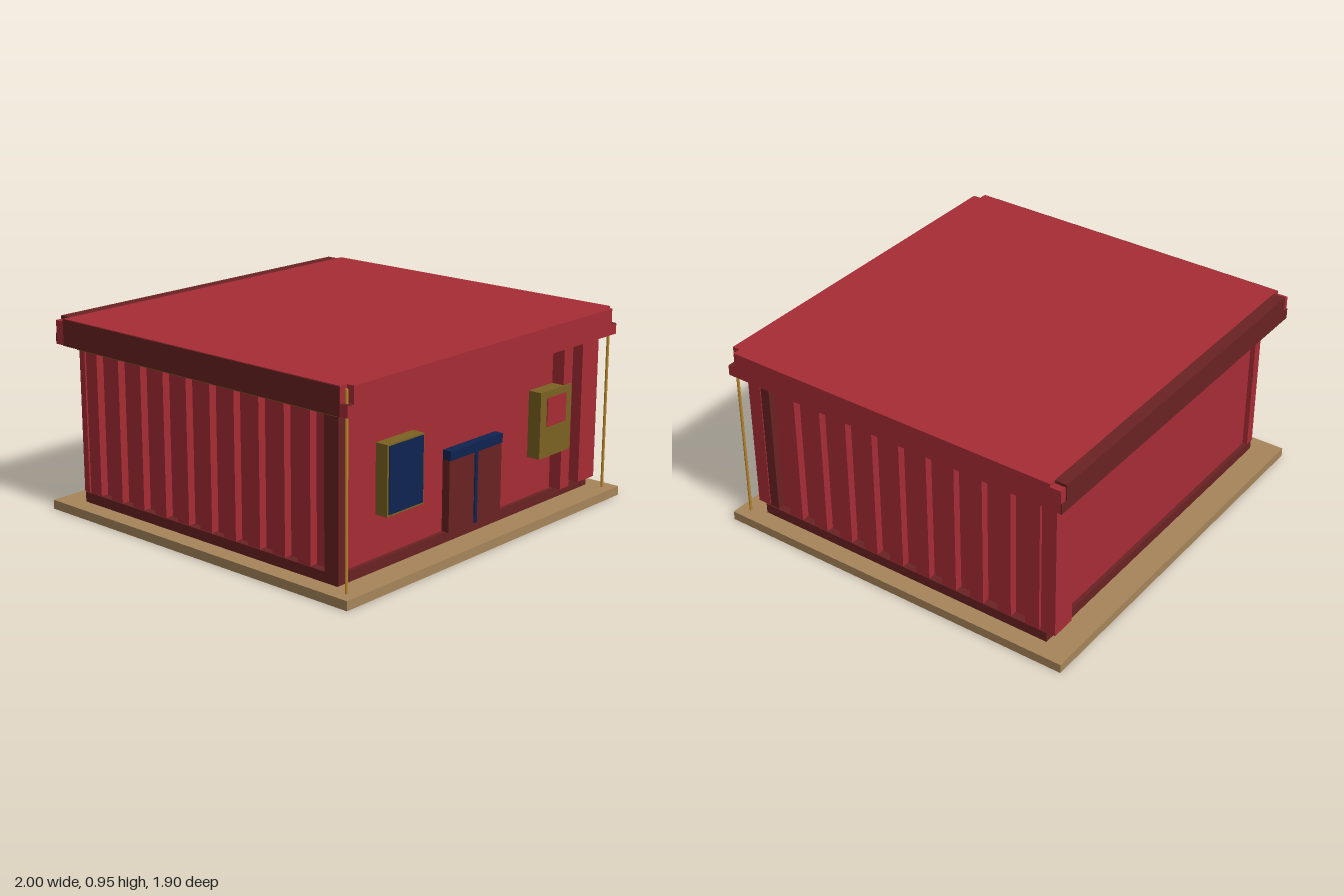
import * as THREE from 'three';

const mat = (name, color) => {
  const m = new THREE.MeshStandardMaterial({ color });
  m.name = name;
  return m;
};

export function createModel() {
  const red = mat('red', 0xa62c35);
  const dark = mat('dark red', 0x6a2222);
  const tan = mat('tan', 0xa6855a);
  const olive = mat('olive', 0x7c6222);
  const navy = mat('navy', 0x0f2350);
  const gold = mat('gold', 0xb8862c);

  const model = new THREE.Group();
  model.name = 'building';

  // Box given by its minimum and maximum on each axis
  const box = (name, m, x0, x1, y0, y1, z0, z1, parent = model) => {
    const mesh = new THREE.Mesh(new THREE.BoxGeometry(x1 - x0, y1 - y0, z1 - z0), m);
    mesh.position.set((x0 + x1) / 2, (y0 + y1) / 2, (z0 + z1) / 2);
    mesh.name = name;
    parent.add(mesh);
    return mesh;
  };

  // Ground slab, plinth, wall core and top beam
  box('slab', tan, -1, 1, 0, 0.045, -0.95, 0.95);
  box('plinth', dark, -0.91, 0.91, 0.045, 0.095, -0.815, 0.815);
  box('wallCore', red, -0.87, 0.87, 0.095, 0.797, -0.795, 0.795);
  box('wallPlate', gold, -0.91, 0.91, 0.794, 0.799, -0.815, 0.815);
  box('topBeam', olive, -0.925, 0.925, 0.799, 0.82, -0.818, 0.818);

  // Raised panels of the front and back walls
  box('frontRib', red, 0.63, 0.7, 0.1, 0.796, 0.79, 0.86);
  box('frontCornerPanel', red, 0.78, 0.91, 0.1, 0.796, 0.79, 0.86);
  box('backCornerPanel', red, 0.78, 0.91, 0.1, 0.796, -0.86, -0.79);

  // Ribbed side walls
  const pitch = 0.0755;
  for (const side of [-1, 1]) {
    const wall = new THREE.Group();
    wall.name = side > 0 ? 'leftRibs' : 'rightRibs';
    model.add(wall);
    const xs = [side * 0.86, side * 0.91].sort((a, b) => a - b);
    for (let i = 0; i < 10; i++) {
      const z = 0.66 - 2 * pitch * i;
      box('rib', red, xs[0], xs[1], 0.098, 0.796, z - pitch, z, wall);
    }
    box('endRib', red, xs[0], xs[1], 0.098, 0.796, -0.82, -0.785, wall);
    box('cornerPost', dark, xs[0], xs[1] - (side > 0 ? 0.005 : 0), 0.05, 0.797, 0.74, 0.82, wall);
  }

  // Double door
  box('door', dark, -0.19, 0.19, 0.095, 0.435, 0.78, 0.835);
  box('doorHeader', navy, -0.19, 0.19, 0.435, 0.48, 0.78, 0.84);
  box('doorMullion', navy, -0.01, 0.01, 0.095, 0.435, 0.78, 0.84);

  // Window and notice board
  box('windowFrame', olive, -0.645, -0.4, 0.295, 0.62, 0.78, 0.86);
  box('windowPane', navy, -0.635, -0.408, 0.305, 0.613, 0.858, 0.864);
  box('board', olive, 0.445, 0.69, 0.295, 0.62, 0.78, 0.865);
  box('boardPanel', red, 0.495, 0.645, 0.445, 0.585, 0.862, 0.869);

  // Roof: full lower tier, upper tier notched at the front corners
  box('roofLower', red, -0.965, 0.965, 0.82, 0.87, -0.915, 0.92);
  const top = new THREE.Shape([
    [-0.965, 0.86], [-0.965, -0.88], [-0.925, -0.88], [-0.925, -0.92],
    [0.925, -0.92], [0.925, -0.88], [0.965, -0.88], [0.965, 0.86],
  ].map(([x, y]) => new THREE.Vector2(x, y)));
  const roofTop = new THREE.Mesh(
    new THREE.ExtrudeGeometry(top, { depth: 0.08, bevelEnabled: false }), red);
  roofTop.rotation.x = -Math.PI / 2;
  roofTop.position.y = 0.87;
  roofTop.name = 'roofUpper';
  model.add(roofTop);

  // Dark back edge and right fascia
  box('backEdge', dark, -0.93, 0.93, 0.868, 0.95, -0.92, -0.858);
  box('backFascia', dark, -0.965, 0.965, 0.82, 0.872, -0.92, -0.914);
  box('rightFascia', dark, -0.97, -0.964, 0.82, 0.948, -0.86, 0.88);

  // Corner cups and front poles
  for (const side of [-1, 1]) {
    box('backCorner', red, side * 0.945 - 0.02, side * 0.945 + 0.02, 0.868, 0.935, -0.915, -0.858);
    box('cornerCup', dark, side * 0.945 - 0.019, side * 0.945 + 0.019, 0.866, 0.873, 0.88, 0.918);
    const pole = new THREE.Mesh(new THREE.CylinderGeometry(0.007, 0.007, 0.89, 10), gold);
    pole.position.set(side * 0.94, 0.49, 0.893);
    pole.name = 'pole';
    model.add(pole);
  }

  return model;
}
